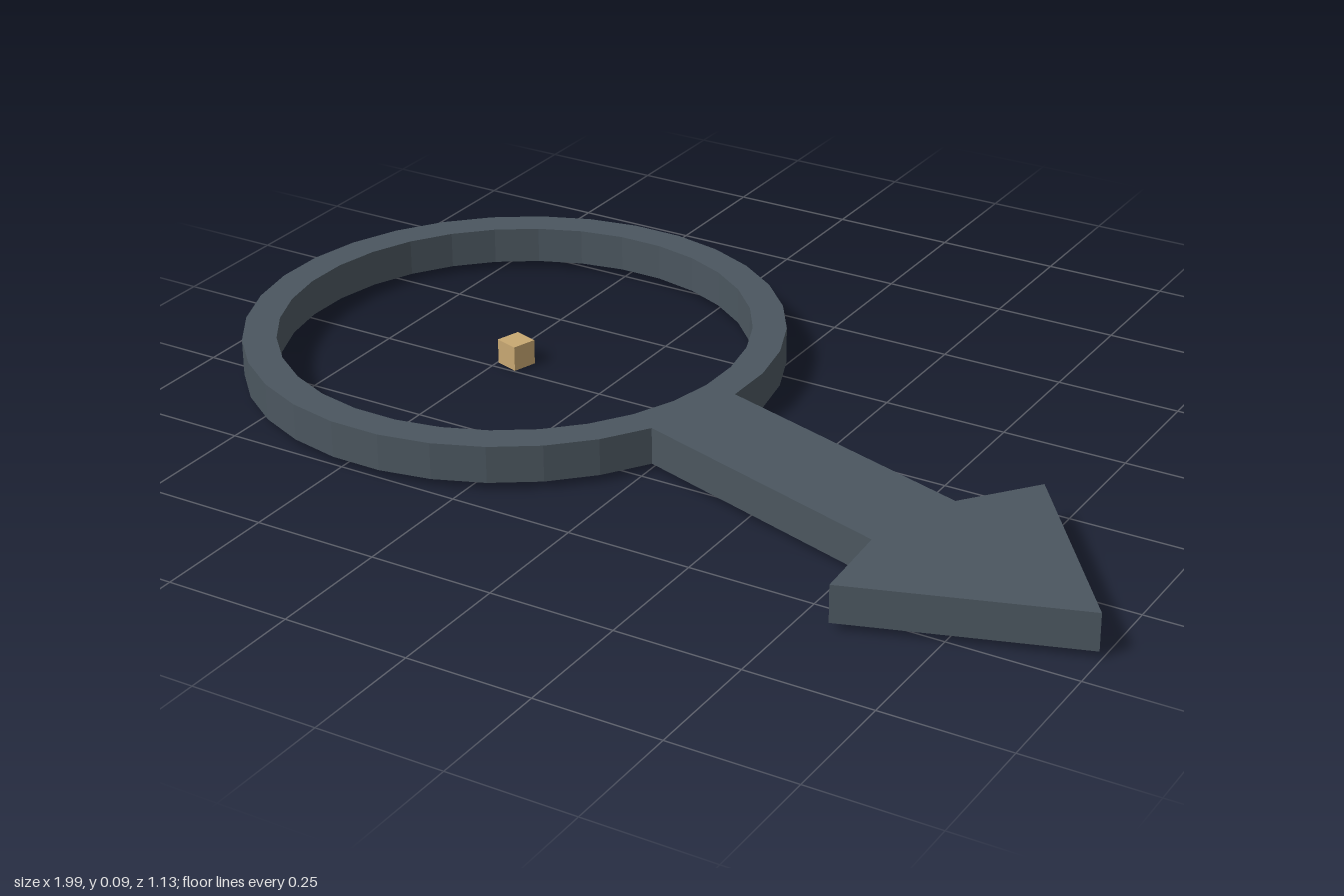
import * as THREE from 'three';

export function createModel() {
  const model = new THREE.Group();
  const slate = new THREE.MeshStandardMaterial({ color: 0x4b565f });
  slate.name = 'slate';
  const tan = new THREE.MeshStandardMaterial({ color: 0xc8a872 });
  tan.name = 'tan';

  // Everything shares one heading, with the arrow along local +x
  const pointer = new THREE.Group();
  pointer.name = 'pointer';
  pointer.position.set(-0.465, 0, -0.035);
  pointer.rotation.y = -THREE.MathUtils.degToRad(17.3);
  model.add(pointer);

  const sides = 32, outer = 0.535, inner = 0.468, bottom = 0.014, top = 0.088;
  const onCircle = (r, i) => {
    const a = (i / sides) * Math.PI * 2;
    return new THREE.Vector2(r * Math.cos(a), r * Math.sin(a));
  };

  // Ring outline, open on the arrow side where the shaft joins
  const outline = [];
  for (let i = 1; i < sides; i++) outline.push(onCircle(outer, i));
  // Shaft and swept arrowhead
  const halfArrow = [[1.097, 0.104], [1.16, 0.267]];
  for (const [x, y] of halfArrow) outline.push(new THREE.Vector2(x, -y));
  outline.push(new THREE.Vector2(1.53, 0));
  for (const [x, y] of [...halfArrow].reverse()) outline.push(new THREE.Vector2(x, y));

  const shape = new THREE.Shape(outline);
  const hole = [];
  for (let i = 0; i < sides; i++) hole.push(onCircle(inner, i));
  shape.holes.push(new THREE.Path(hole));

  const plate = new THREE.ExtrudeGeometry(shape, { depth: top - bottom, bevelEnabled: false });
  plate.rotateX(Math.PI / 2);
  const ringArrow = new THREE.Mesh(plate, slate);
  ringArrow.name = 'ringWithArrow';
  ringArrow.position.y = top;
  pointer.add(ringArrow);

  // Small cube at the ring's centre
  const size = 0.051;
  const cube = new THREE.Mesh(new THREE.BoxGeometry(size, size, size), tan);
  cube.name = 'centreCube';
  cube.position.y = size / 2;
  pointer.add(cube);

  return model;
}
